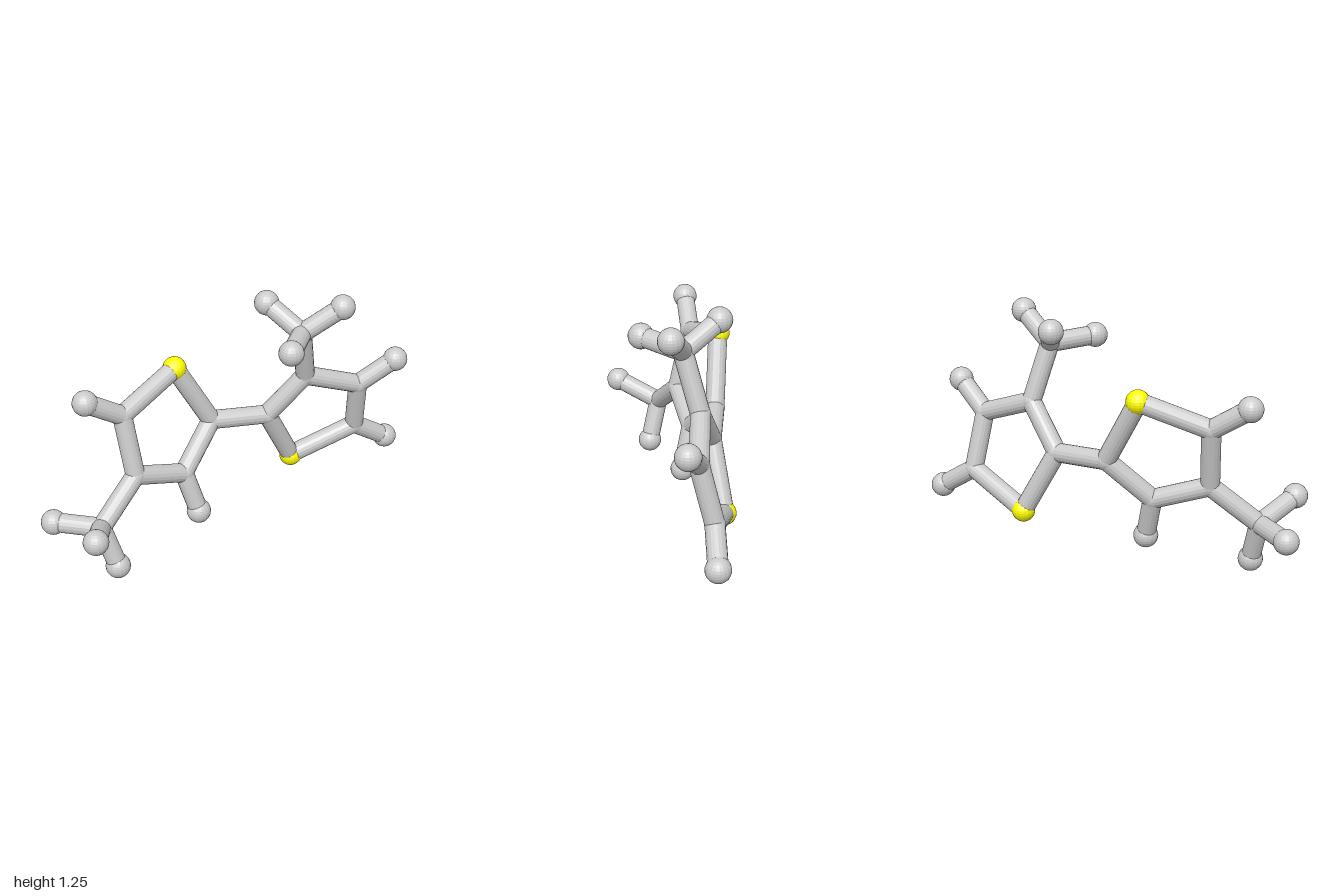
import * as THREE from 'three';

const BOND_RADIUS = 0.048;
const SIDES = 18;

// Ball centres, grouped by kind
const joints = {
  // left ring and its branch
  leftOuter: [-0.555, 0.77, -0.13],
  leftLower: [-0.53, 0.46, -0.06],
  leftBottom: [-0.25, 0.365, -0.1],
  leftInner: [-0.045, 0.565, -0.195],
  leftBranch: [-0.755, 0.275, 0.02],
  // right ring and its branch
  rightInner: [0.245, 0.545, -0.14],
  rightTop: [0.42, 0.765, -0.062],
  rightUpper: [0.71, 0.66, -0.02],
  rightOuter: [0.745, 0.37, -0.09],
  rightBranch: [0.35, 1.055, 0.012],
};
const yellowBalls = {
  leftYellow: [-0.225, 0.892, -0.23],
  rightYellow: [0.415, 0.228, -0.182],
};

// Chains of bonds: two closed five-sided rings, the bridge and the branches
const chains = [
  ['leftYellow', 'leftOuter', 'leftLower', 'leftBottom', 'leftInner', 'leftYellow'],
  ['rightYellow', 'rightInner', 'rightTop', 'rightUpper', 'rightOuter', 'rightYellow'],
  ['leftInner', 'rightInner'],
  ['leftLower', 'leftBranch'],
  ['rightTop', 'rightBranch'],
];

// Free ends carried by each joint
const ends = {
  leftOuter: [[-0.742, 0.892, -0.125]],
  leftBottom: [[-0.195, 0.147, -0.05]],
  leftBranch: [[-0.94, 0.273, -0.135], [-0.868, 0.362, 0.23], [-0.7, 0.063, 0.073]],
  rightUpper: [[0.883, 0.793, 0.05]],
  rightOuter: [[0.938, 0.248, -0.08]],
  rightBranch: [[0.187, 1.07, 0.19], [0.253, 1.162, -0.17], [0.53, 1.185, 0.086]],
};

export function createModel() {
  const model = new THREE.Group();
  model.name = 'moleculeModel';
  const grey = new THREE.MeshStandardMaterial({ color: 0xcccccc, flatShading: true });
  const yellow = new THREE.MeshStandardMaterial({ color: 0xffff00, flatShading: true });

  const addBall = (name, at, radius, material) => {
    const ball = new THREE.Mesh(new THREE.SphereGeometry(radius, SIDES, 14), material);
    ball.position.set(...at);
    ball.name = name;
    model.add(ball);
  };

  // Straight rod between two centres
  const up = new THREE.Vector3(0, 1, 0);
  const addBond = (name, from, to) => {
    const a = new THREE.Vector3(...from);
    const dir = new THREE.Vector3(...to).sub(a);
    const length = dir.length();
    const geometry = new THREE.CylinderGeometry(BOND_RADIUS, BOND_RADIUS, length, SIDES);
    const bond = new THREE.Mesh(geometry, grey);
    bond.position.copy(a).addScaledVector(dir, 0.5);
    bond.quaternion.setFromUnitVectors(up, dir.normalize());
    bond.name = name;
    model.add(bond);
  };

  // Small joints and yellow ring balls
  for (const [name, at] of Object.entries(joints)) addBall(name + 'Joint', at, 0.05, grey);
  for (const [name, at] of Object.entries(yellowBalls)) addBall(name + 'Ball', at, 0.059, yellow);

  // Rings, bridge and branches
  const centres = { ...joints, ...yellowBalls };
  for (const chain of chains) {
    for (let i = 1; i < chain.length; i++) {
      addBond(`${chain[i - 1]}Bond`, centres[chain[i - 1]], centres[chain[i]]);
    }
  }

  // End balls on their stems
  for (const [name, list] of Object.entries(ends)) {
    for (const at of list) {
      addBond(name + 'EndBond', joints[name], at);
      addBall(name + 'EndBall', at, 0.062, grey);
    }
  }
  return model;
}
